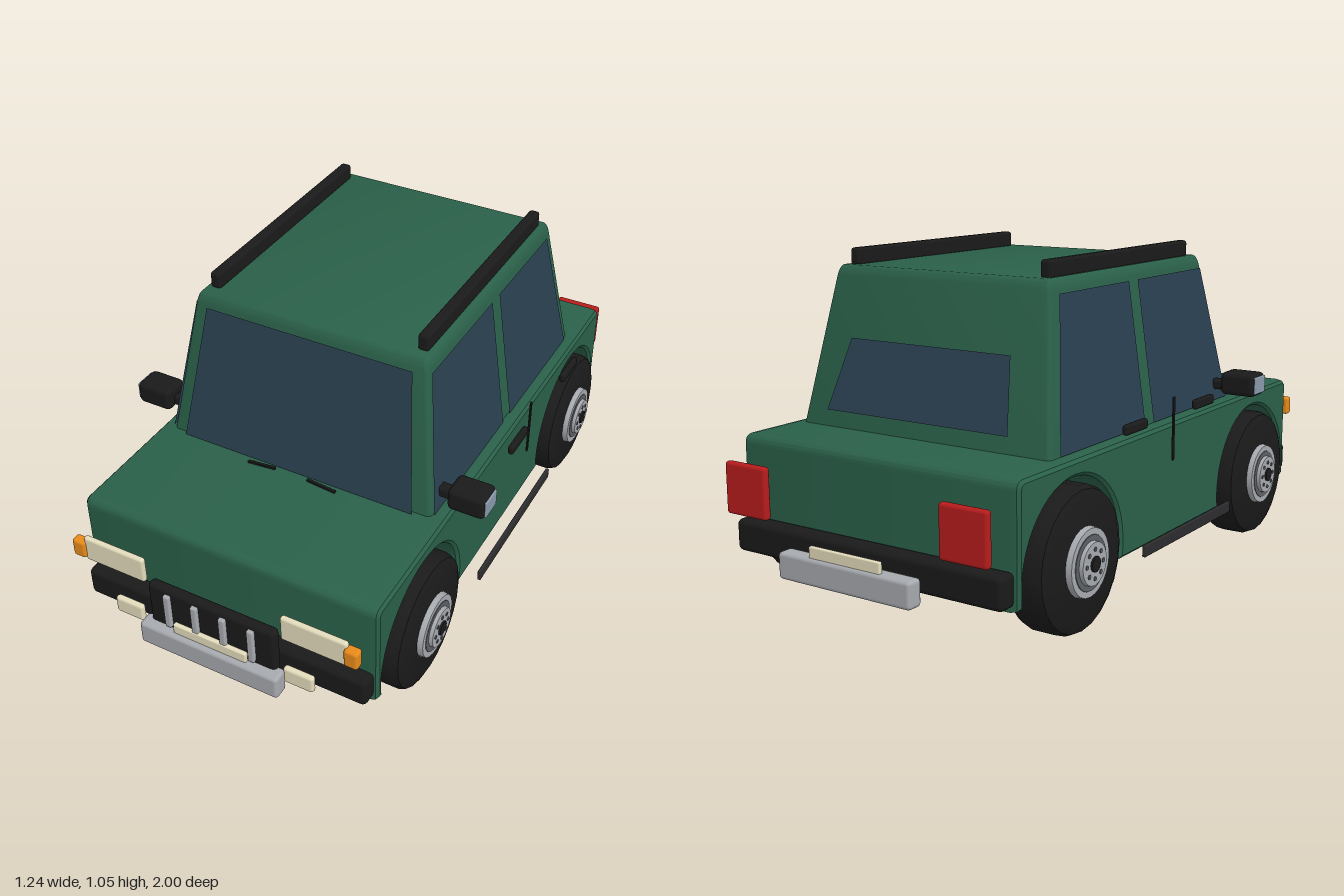
import * as THREE from 'three';
import { RoundedBoxGeometry } from 'three/addons/geometries/RoundedBoxGeometry.js';
import { toCreasedNormals } from 'three/addons/utils/BufferGeometryUtils.js';

const mat = (color, side = THREE.FrontSide) => new THREE.MeshStandardMaterial({ color, side });
const paint = mat(0x2a6049), black = mat(0x1a1a1a), silver = mat(0xa6a9ae), darkGrey = mat(0x5c6066);
const cream = mat(0xe4dcbc), amber = mat(0xe88a1a), red = mat(0xb81c1c), trim = mat(0x2c2c2e);
const mirrorGlass = mat(0x8899aa), glass = mat(0x2a3f50, THREE.DoubleSide);

export function createModel() {
  const car = new THREE.Group();
  car.name = 'car';

  const add = (name, geometry, material, parent = car) => {
    const mesh = new THREE.Mesh(geometry, material);
    mesh.name = name;
    parent.add(mesh);
    return mesh;
  };
  // Rounded block given by its extents on each axis
  const block = (name, [x0, x1], [y0, y1], [z0, z1], material, r = 0.01) => {
    const w = x1 - x0, h = y1 - y0, d = z1 - z0;
    const radius = Math.min(r, Math.min(w, h, d) * 0.45);
    const mesh = add(name, new RoundedBoxGeometry(w, h, d, 2, radius), material);
    mesh.position.set((x0 + x1) / 2, (y0 + y1) / 2, (z0 + z1) / 2);
    return mesh;
  };
  // The same block on both sides of the car
  const pair = (name, [x0, x1], ys, zs, material, r) => {
    block('left' + name, [x0, x1], ys, zs, material, r);
    block('right' + name, [-x1, -x0], ys, zs, material, r);
  };
  // Flat pane from four corners
  const pane = (name, corners) => {
    const g = new THREE.BufferGeometry();
    g.setAttribute('position', new THREE.Float32BufferAttribute(corners.flat(), 3));
    g.setIndex([0, 1, 2, 0, 2, 3]);
    g.computeVertexNormals();
    add(name, g, glass);
  };

  // Lower body: side profile with wheel arches, extruded across the width
  const axleZ = 0.585, archR = 0.255, archY = 0.2, floorY = 0.145;
  const archHalf = Math.sqrt(archR ** 2 - (archY - floorY) ** 2);
  const archA = Math.asin((floorY - archY) / archR);
  const s = new THREE.Shape();
  s.moveTo(-0.865, floorY);
  for (const z of [-axleZ, axleZ]) {
    s.lineTo(z - archHalf, floorY);
    s.absarc(z, archY, archR, Math.PI - archA, archA, true);
  }
  s.lineTo(0.873, floorY);
  s.lineTo(0.873, 0.48);
  s.quadraticCurveTo(0.873, 0.512, 0.84, 0.512);
  s.lineTo(-0.83, 0.512);
  s.quadraticCurveTo(-0.865, 0.512, -0.865, 0.48);
  const body = new THREE.ExtrudeGeometry(s, {
    depth: 0.95, bevelThickness: 0.03, bevelSize: 0.014, bevelOffset: -0.014, bevelSegments: 2, curveSegments: 14,
  });
  body.translate(0, 0, -0.475).rotateY(-Math.PI / 2);
  add('body', toCreasedNormals(body, 0.5), paint);

  // Cabin: rounded block tapered towards the roof
  const cabin = new RoundedBoxGeometry(2, 0.52, 2, 3, 0.035);
  const p = cabin.attributes.position;
  for (let i = 0; i < p.count; i++) {
    const t = p.getY(i) / 0.52 + 0.5;
    const front = THREE.MathUtils.lerp(0.463, 0.365, t), back = THREE.MathUtils.lerp(-0.655, -0.545, t);
    p.setXYZ(i, p.getX(i) * THREE.MathUtils.lerp(0.465, 0.39, t), 0.48 + 0.52 * t,
      THREE.MathUtils.lerp(back, front, (p.getZ(i) + 1) / 2));
  }
  add('cabin', toCreasedNormals(cabin, 0.5), paint);

  // Windows
  pane('windshield', [[-0.405, 0.515, 0.472], [0.405, 0.515, 0.472], [0.35, 0.96, 0.378], [-0.35, 0.96, 0.378]]);
  pane('rearWindow', [[0.335, 0.57, -0.672], [-0.335, 0.57, -0.672], [-0.295, 0.785, -0.598], [0.295, 0.785, -0.598]]);
  for (const [side, k] of [['left', 1], ['right', -1]]) {
    const low = k * 0.467, high = k * 0.402;
    pane(side + 'FrontWindow', [[low, 0.515, 0.445], [low, 0.515, -0.067], [high, 0.957, -0.067], [high, 0.957, 0.355]]);
    pane(side + 'RearWindow', [[low, 0.515, -0.12], [low, 0.515, -0.605], [high, 0.957, -0.51], [high, 0.957, -0.12]]);
  }

  // Roof rails, handles, sill strips and thin door uprights
  pair('RoofRail', [0.335, 0.371], [0.995, 1.05], [-0.51, 0.32], black);
  pair('FrontDoorHandle', [0.56, 0.58], [0.555, 0.587], [0, 0.125], black);
  pair('RearDoorHandle', [0.56, 0.58], [0.555, 0.587], [-0.43, -0.305], black);
  pair('SillStrip', [0.555, 0.567], [0.155, 0.192], [-0.29, 0.29], trim, 0.004);
  pair('DoorUpright', [0.545, 0.551], [0.41, 0.61], [-0.096, -0.085], black, 0.002);

  // Door mirrors
  pair('MirrorArm', [0.44, 0.51], [0.55, 0.585], [0.36, 0.4], black);
  pair('MirrorHousing', [0.495, 0.618], [0.54, 0.617], [0.335, 0.43], black, 0.018);
  pair('MirrorGlass', [0.612, 0.622], [0.55, 0.607], [0.345, 0.42], mirrorGlass, 0.004);

  // Bumpers
  block('frontBumper', [-0.49, 0.49], [0.16, 0.26], [0.855, 0.92], black, 0.018);
  block('rearBumper', [-0.49, 0.49], [0.16, 0.26], [-0.922, -0.855], black, 0.018);
  block('frontBumperBar', [-0.242, 0.242], [0.14, 0.222], [0.945, 1], silver, 0.012);
  block('rearBumperBar', [-0.242, 0.242], [0.14, 0.222], [-1, -0.945], silver, 0.012);
  block('frontPlate', [-0.127, 0.127], [0.205, 0.255], [0.967, 0.983], cream, 0.004);
  block('rearPlate', [-0.13, 0.13], [0.205, 0.255], [-0.99, -0.975], cream, 0.004);

  // Grille with upright bars
  block('grille', [-0.22, 0.22], [0.205, 0.37], [0.93, 0.967], black, 0.015);
  for (let i = 0; i < 4; i++) {
    const x = -0.147 + i * 0.097;
    block('grilleBar', [x - 0.011, x + 0.011], [0.23, 0.355], [0.96, 0.98], silver, 0.005);
  }

  // Lights
  pair('Headlight', [0.235, 0.452], [0.352, 0.442], [0.937, 0.957], cream);
  pair('TurnSignal', [0.444, 0.49], [0.363, 0.427], [0.933, 0.967], amber);
  pair('FogLight', [0.247, 0.347], [0.195, 0.256], [0.95, 0.972], cream);
  pair('TailLight', [0.316, 0.477], [0.29, 0.45], [-0.968, -0.942], red);

  // Wipers
  for (const k of [-1, 1]) {
    const wiper = block('wiper', [-0.05, 0.05], [-0.004, 0.004], [-0.005, 0.005], black, 0.002);
    wiper.position.set(k * 0.106, 0.52, 0.492);
    wiper.rotation.z = -k * 0.1;
  }

  // Wheels: lathed tyre with a stepped rim, axis turned to point outwards
  const tyreProfile = [[0, -0.068], [0.185, -0.068], [0.208, -0.058], [0.217, -0.038], [0.217, 0.038],
    [0.208, 0.058], [0.185, 0.068], [0, 0.068]].map(([r, y]) => new THREE.Vector2(r, y));
  const tyre = toCreasedNormals(new THREE.LatheGeometry(tyreProfile, 24), 0.5);
  const disc = (name, r, y0, y1, material, parent, sides = 24) => {
    const mesh = add(name, new THREE.CylinderGeometry(r * 0.96, r, y1 - y0, sides), material, parent);
    mesh.position.y = (y0 + y1) / 2;
    return mesh;
  };
  for (const k of [-1, 1]) for (const z of [-axleZ, axleZ]) {
    const wheel = new THREE.Group();
    wheel.name = (z > 0 ? 'front' : 'rear') + (k > 0 ? 'Left' : 'Right') + 'Wheel';
    add('tyre', tyre, black, wheel);
    disc('rim', 0.105, 0.06, 0.086, silver, wheel);
    disc('rimGroove', 0.085, 0.08, 0.088, darkGrey, wheel);
    disc('rimFace', 0.066, 0.08, 0.1, silver, wheel);
    disc('hubCap', 0.024, 0.09, 0.106, black, wheel, 12);
    for (let i = 0; i < 8; i++) {
      const a = i * Math.PI / 4;
      const nut = disc('wheelNut', 0.007, 0.095, 0.103, darkGrey, wheel, 6);
      nut.position.x = Math.cos(a) * 0.043;
      nut.position.z = Math.sin(a) * 0.043;
    }
    wheel.rotation.z = -k * Math.PI / 2;
    wheel.position.set(k * 0.47, 0.22, z);
    car.add(wheel);
  }

  return car;
}
